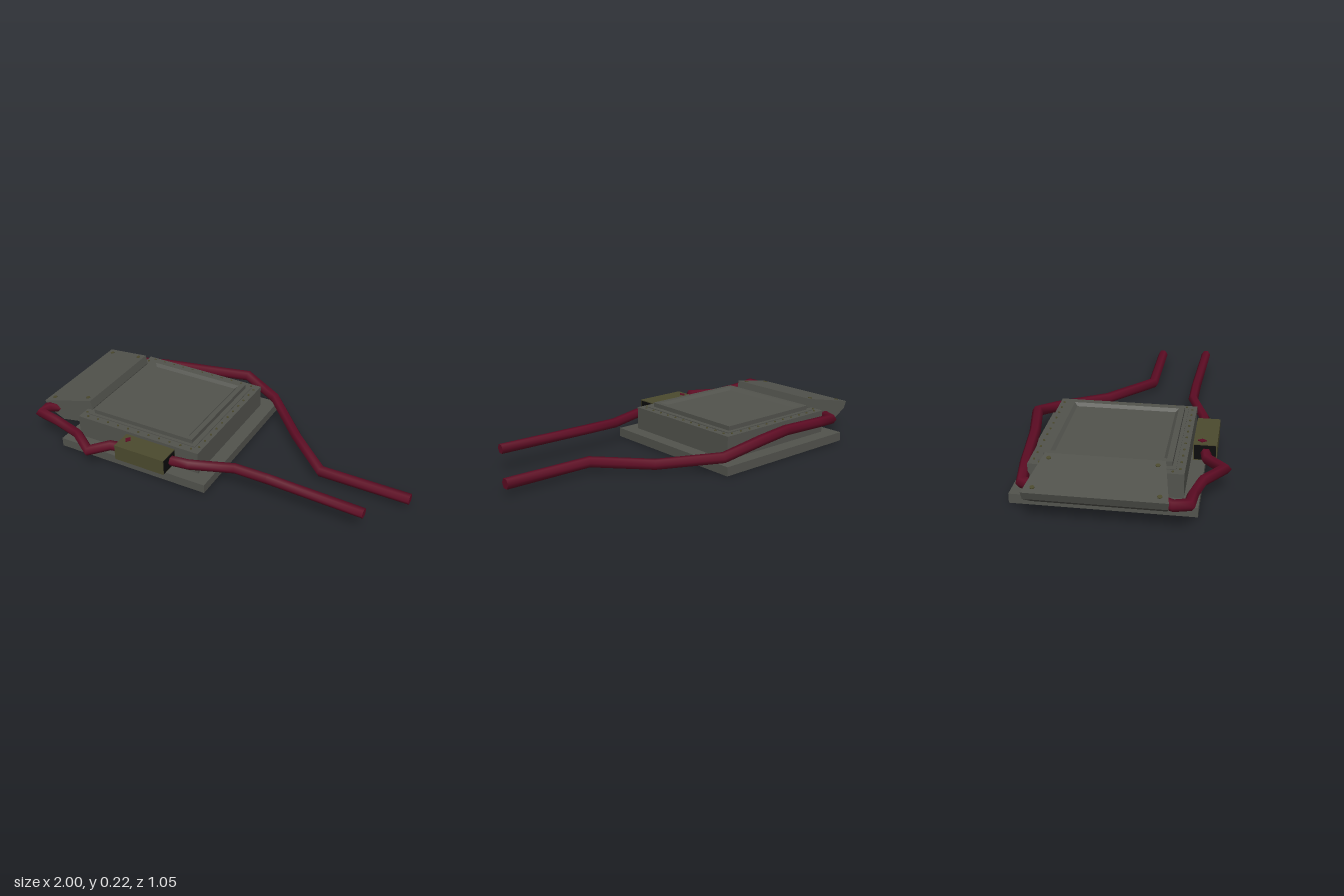
import * as THREE from 'three';
import { ConvexGeometry } from 'three/addons/geometries/ConvexGeometry.js';

const V = (x, y, z) => new THREE.Vector3(x, y, z);
const material = (name, color) => {
  const m = new THREE.MeshStandardMaterial({ color });
  m.name = name;
  return m;
};

// Give every face its own flat normal
function flat(geometry) {
  const g = geometry.toNonIndexed();
  g.computeVertexNormals();
  return g;
}

// Six-sided cable with mitred bends; the end rings are doubled for sharp caps
function cableGeometry(points, radius, sides = 6) {
  const pts = points.map(p => V(...p)), pos = [], index = [], n = pts.length;
  const ring = i => {
    const p = pts[i];
    const back = p.clone().sub(pts[Math.max(i - 1, 0)]).normalize();
    const ahead = pts[Math.min(i + 1, n - 1)].clone().sub(p).normalize();
    const t = back.clone().add(ahead).normalize();
    const stretch = i > 0 && i < n - 1 ? Math.min(1.5, 1 / t.dot(ahead)) : 1;
    const side = t.clone().cross(V(0, 1, 0)).normalize();
    const up = side.clone().cross(t);
    for (let k = 0; k < sides; k++) {
      const a = k / sides * Math.PI * 2;
      const q = p.clone().addScaledVector(side, Math.cos(a) * radius * stretch)
        .addScaledVector(up, Math.sin(a) * radius);
      pos.push(q.x, q.y, q.z);
    }
  };
  for (let i = 0; i < n; i++) ring(i);
  ring(0);
  ring(n - 1);
  for (let i = 0; i < n - 1; i++) for (let k = 0; k < sides; k++) {
    const a = i * sides + k, b = i * sides + (k + 1) % sides;
    index.push(a, a + sides, b, b, a + sides, b + sides);
  }
  const start = n * sides, end = start + sides;
  for (let k = 1; k < sides - 1; k++) {
    index.push(start, start + k, start + k + 1, end, end + k + 1, end + k);
  }
  const g = new THREE.BufferGeometry();
  g.setAttribute('position', new THREE.Float32BufferAttribute(pos, 3));
  g.setIndex(index);
  g.computeVertexNormals();
  return g;
}

export function createModel() {
  const group = new THREE.Group();
  const grey = material('casing grey', 0x52534d);
  const red = material('cable red', 0x5e0c24);
  const olive = material('olive metal', 0x4c4a2e);
  const black = material('black', 0x0c0c0c);

  const add = (name, geometry, mat, parent = group) => {
    const mesh = new THREE.Mesh(geometry, mat);
    mesh.name = name;
    parent.add(mesh);
    return mesh;
  };
  // Box given by its minimum and maximum corners
  const box = (name, x0, x1, y0, y1, z0, z1, mat) => {
    const m = add(name, new THREE.BoxGeometry(x1 - x0, y1 - y0, z1 - z0), mat);
    m.position.set((x0 + x1) / 2, (y0 + y1) / 2, (z0 + z1) / 2);
    return m;
  };

  // Casing
  box('basePlate', -0.817, 0.053, 0, 0.048, -0.466, 0.394, grey);
  box('body', -0.745, -0.02, 0.048, 0.17, -0.391, 0.323, grey);
  box('topPad', -0.71, -0.06, 0.17, 0.174, -0.352, 0.282, grey);

  // Square raised frame with a sloped recess
  const profile = [[0.298, 0.17], [0.298, 0.197], [0.27, 0.197], [0.254, 0.182], [0, 0.182]]
    .map(([half, y]) => new THREE.Vector2(half * Math.SQRT2, y));
  const frameGeo = new THREE.LatheGeometry(profile, 4);
  frameGeo.rotateY(Math.PI / 4);
  add('recessedFrame', flat(frameGeo), grey).position.set(-0.385, 0, -0.034);

  // Rivets around the rim of the body
  const rivets = new THREE.Group();
  rivets.name = 'rivets';
  group.add(rivets);
  const rivetGeo = flat(new THREE.CylinderGeometry(0.005, 0.006, 0.007, 6));
  const rivet = (x, z) => add('rivet', rivetGeo, olive, rivets).position.set(x, 0.172, z);
  for (let i = 0; i < 11; i++) {
    const x = -0.7 + i * 0.063, z = -0.34 + i * 0.061;
    for (const edge of [-0.37, 0.301]) rivet(x, edge);
    for (const edge of [-0.727, -0.041]) rivet(edge, z);
  }

  // Tapered side housing, wider at its outer end
  const section = [[-1, 0.17], [-0.727, 0.222], [-0.716, 0.175], [-0.74, 0.08], [-0.9, 0.07], [-0.985, 0.13]];
  const corners = section.flatMap(([x, y]) => {
    const half = 0.273 + (-0.716 - x) * 0.16;
    return [V(x, y, -0.036 + half), V(x, y, -0.036 - half)];
  });
  add('sideHousing', new ConvexGeometry(corners), grey);
  for (const [x, z] of [[-0.963, -0.31], [-0.762, -0.285], [-0.762, 0.207], [-0.963, 0.24]]) {
    const screw = add('housingScrew', flat(new THREE.CylinderGeometry(0.011, 0.011, 0.009, 8)), olive);
    screw.position.set(x, 0.17 + (x + 1) * 0.19, z);
    screw.rotation.z = 0.188;
  }

  // Cables
  add('rearCable', cableGeometry([
    [-0.85, 0.11, -0.3], [-0.81, 0.11, -0.4], [-0.65, 0.125, -0.425], [-0.38, 0.145, -0.45],
    [-0.15, 0.15, -0.495], [0.05, 0.09, -0.437], [0.29, 0.048, -0.203], [0.525, 0.055, 0.024],
    [0.995, 0.055, 0.027]], 0.028), red);
  add('frontCable', cableGeometry([
    [-0.92, 0.13, 0.24], [-0.97, 0.145, 0.3], [-0.96, 0.15, 0.365], [-0.85, 0.135, 0.372],
    [-0.7, 0.12, 0.402], [-0.57, 0.115, 0.492], [-0.49, 0.12, 0.407], [-0.4, 0.122, 0.392],
    [-0.15, 0.122, 0.377], [-0.05, 0.122, 0.364], [0.17, 0.125, 0.287], [0.35, 0.125, 0.288],
    [0.855, 0.122, 0.307]], 0.026), red);

  // Inline box on the front cable
  box('inlineBox', -0.434, -0.146, 0.08, 0.165, 0.336, 0.45, olive);
  for (const x of [-0.436, -0.146]) {
    box('inlineBoxOpening', x, x + 0.002, 0.085, 0.16, 0.341, 0.445, black);
  }
  const light = add('inlineBoxLight', flat(new THREE.CylinderGeometry(0.021, 0.021, 0.006, 4)), red);
  light.position.set(-0.398, 0.167, 0.377);
  light.scale.x = 0.75;
  return group;
}
